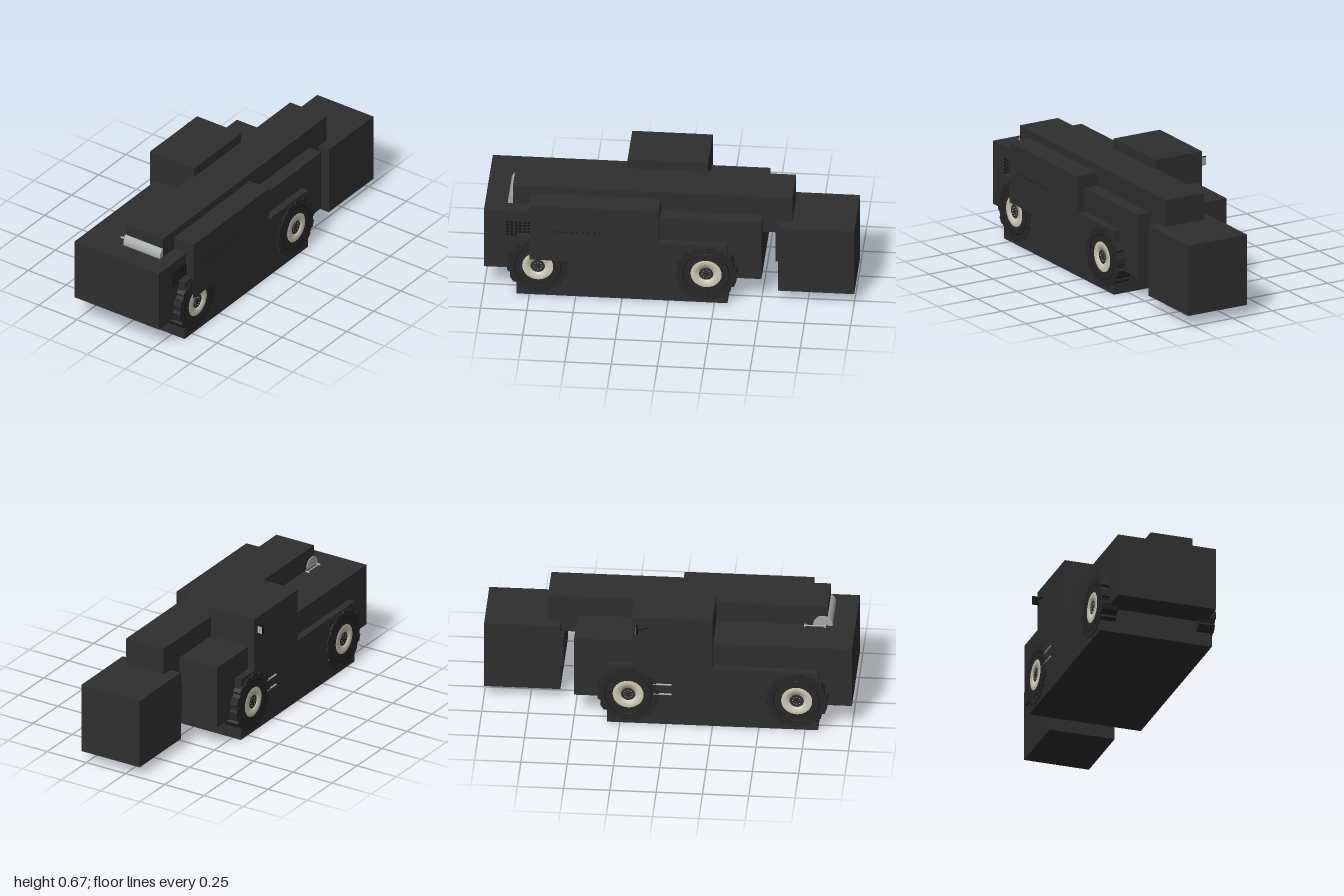
import * as THREE from 'three';

const mat = (name, color) => {
  const m = new THREE.MeshStandardMaterial({ color });
  m.name = name;
  return m;
};

export function createModel() {
  const model = new THREE.Group();
  model.name = 'vehicle';
  const dark = mat('charcoal body', 0x2f2f2f);
  const tyreMat = mat('rubber', 0x282828);
  const black = mat('black', 0x141414);
  const cream = mat('cream rim', 0xd0ccb6);
  const metal = mat('light metal', 0xa6aaa7);

  const add = (name, geo, material, parent = model) => {
    const m = new THREE.Mesh(geo, material);
    m.name = name;
    parent.add(m);
    return m;
  };
  // Box given by its extents on each axis
  const box = (name, x0, x1, y0, y1, z0, z1, material = dark) => {
    const m = add(name, new THREE.BoxGeometry(x1 - x0, y1 - y0, z1 - z0), material);
    m.position.set((x0 + x1) / 2, (y0 + y1) / 2, (z0 + z1) / 2);
    return m;
  };
  // Round rod between two points
  const rod = (name, a, b, r, material = metal, sides = 20) => {
    const p = new THREE.Vector3(...a), q = new THREE.Vector3(...b);
    const m = add(name, new THREE.CylinderGeometry(r, r, p.distanceTo(q), sides), material);
    m.position.copy(p).lerp(q, 0.5);
    m.quaternion.setFromUnitVectors(new THREE.Vector3(0, 1, 0), q.sub(p).normalize());
    return m;
  };

  // Main blocks
  box('chassis', -0.82, 0.32, 0, 0.36, -0.303, 0.335);
  box('body', -1, 0.5, 0.138, 0.495, -0.264, 0.294);
  box('upperBeam', -0.85, 0.66, 0.39, 0.611, -0.025, 0.215);
  box('sideCompartment', -0.75, -0.05, 0.225, 0.567, 0.15, 0.343);
  box('cab', -0.25, 0.185, 0.3, 0.666, -0.302, -0.01);
  box('bucket', 0.588, 1, 0.061, 0.459, -0.09, 0.281);
  box('bucketCoupler', 0.57, 0.6, 0.2, 0.39, -0.085, 0.21);

  // Wheels: lugged tyre, rim ring, hub cap and bolts
  const lugs = 14, width = 0.097;
  const outline = new THREE.Shape();
  for (let i = 0; i < lugs; i++) {
    [[0, 0.168], [0.5, 0.168], [0.6, 0.157], [0.9, 0.157]].forEach(([f, r], k) => {
      const a = ((i + f) / lugs) * Math.PI * 2;
      outline[i + k ? 'lineTo' : 'moveTo'](r * Math.cos(a), r * Math.sin(a));
    });
  }
  outline.closePath();
  const recess = new THREE.Path();
  recess.absarc(0, 0, 0.084, 0, Math.PI * 2, true);
  outline.holes.push(recess);
  const tyreGeo = new THREE.ExtrudeGeometry(outline, { depth: width - 0.003, bevelEnabled: false, curveSegments: 32 });
  const rimProfile = [[0.039, 0.07], [0.039, 0.0935], [0.072, 0.0955], [0.084, 0.0935]]
    .map(([r, h]) => new THREE.Vector2(r, h));
  const rimGeo = new THREE.LatheGeometry(rimProfile.reverse(), 36).rotateX(Math.PI / 2);
  rimGeo.scale(1, 1, 1);
  const rimMat = cream;
  rimMat.side = THREE.DoubleSide;
  const hubGeo = new THREE.CylinderGeometry(0.039, 0.039, 0.08, 28).rotateX(Math.PI / 2);
  const boltGeo = new THREE.CylinderGeometry(0.003, 0.003, 0.006, 8).rotateX(Math.PI / 2);

  for (const side of [1, -1]) {
    for (const x of [-0.705, 0.205]) {
      const wheel = new THREE.Group();
      wheel.name = (x < 0 ? 'rear' : 'front') + 'Wheel' + (side > 0 ? 'Near' : 'Far');
      add('tyre', tyreGeo, tyreMat, wheel);
      add('tyreBead', new THREE.TorusGeometry(0.125, 0.003, 6, 36), black, wheel).position.z = width - 0.005;
      add('rim', rimGeo, rimMat, wheel);
      add('hub', hubGeo, dark, wheel).position.z = 0.05;
      for (let i = 0; i < 8; i++) {
        const a = (i / 8) * Math.PI * 2;
        add('bolt', boltGeo, metal, wheel).position.set(0.022 * Math.cos(a), 0.022 * Math.sin(a), 0.089);
      }
      wheel.position.set(x, 0.183, side > 0 ? 0.246 : -0.215);
      if (side < 0) wheel.rotation.y = Math.PI;
      model.add(wheel);
    }
  }

  // Exhaust drum across the tail and its thin pipe
  rod('exhaustDrum', [-0.825, 0.5, -0.03], [-0.825, 0.5, 0.212], 0.053, metal, 32);
  rod('thinPipe', [-0.84, 0.51, -0.06], [-0.73, 0.51, -0.06], 0.004);
  for (const x of [-0.84, -0.73]) rod('pipeEnd', [x, 0.51, -0.072], [x, 0.51, -0.048], 0.005);

  // Lift ram between body and bucket
  rod('liftRam', [0.48, 0.363, 0.1], [0.58, 0.357, 0.1], 0.028);

  // Side mirror
  const mirror = box('mirrorFrame', 0.152, 0.163, 0.577, 0.624, -0.342, -0.306, black);
  box('mirrorGlass', 0.16, 0.165, 0.58, 0.621, -0.339, -0.309, metal);
  rod('mirrorArm', [0.1, 0.6, -0.3], [mirror.position.x, 0.6, -0.325], 0.004, black, 8);

  // Step bars behind the far front wheel
  for (const y of [0.19, 0.25]) rod('stepBar', [-0.03, y, -0.305], [0.07, y, -0.305], 0.005, metal, 10);

  // Row of rivets on the side compartment
  for (let i = 0; i < 10; i++) {
    box('rivet', -0.65 + i * 0.031, -0.643 + i * 0.031, 0.406, 0.413, 0.342, 0.346, black);
  }

  // Grille of small slots at the tail
  for (let i = 0; i < 6; i++) {
    for (let j = 0; j < 5; j++) {
      const x = -0.878 + i * 0.023, y = 0.345 + j * 0.019;
      box('grilleSlot', x, x + 0.013, y, y + 0.011, 0.29, 0.298, black);
    }
  }
  return model;
}
